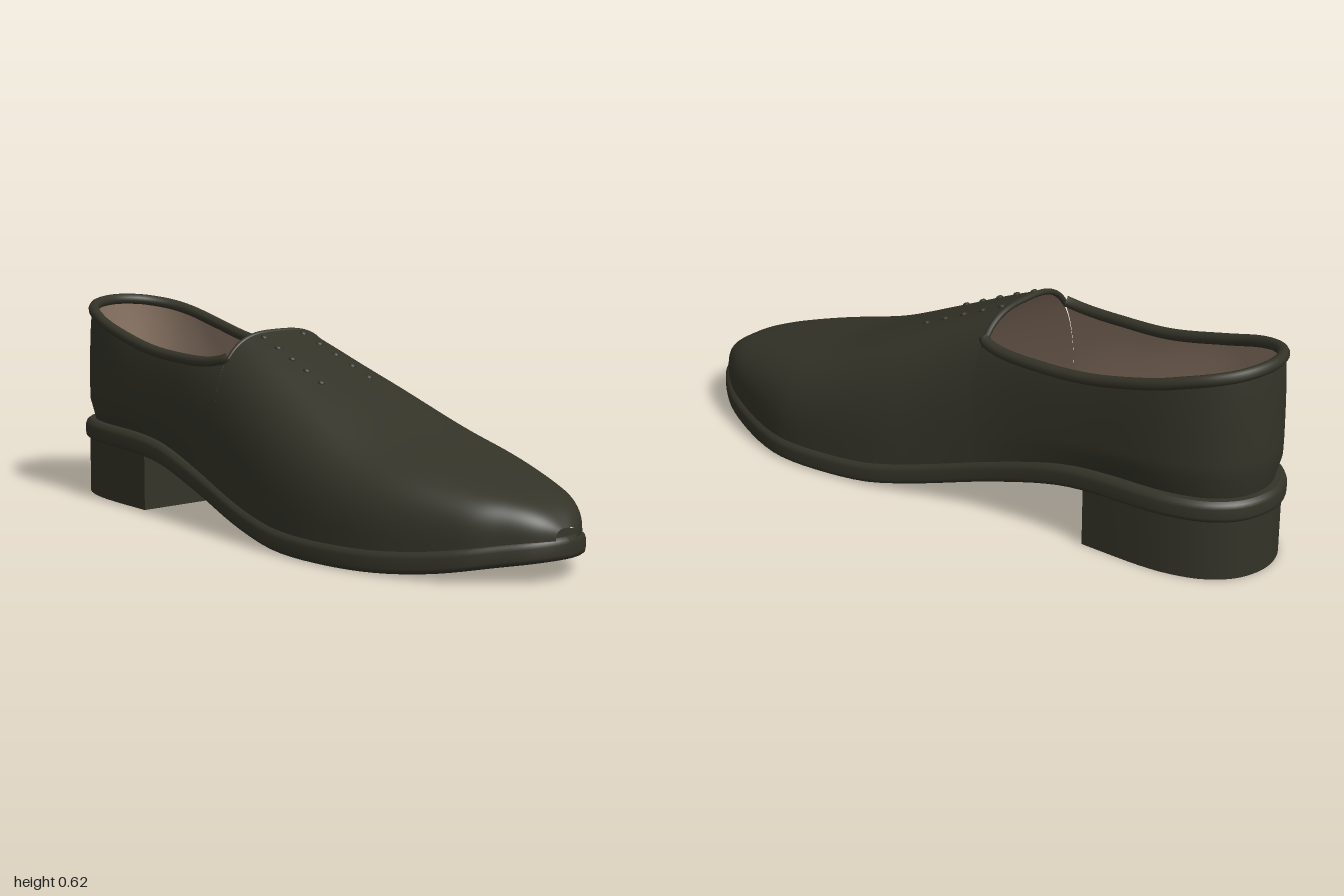
import * as THREE from 'three';
import { mergeGeometries, mergeVertices, toCreasedNormals } from 'three/addons/utils/BufferGeometryUtils.js';

const leather = new THREE.MeshStandardMaterial({ color: 0x333328 });
leather.name = 'dark leather';
const liningTan = new THREE.MeshStandardMaterial({ color: 0x8f7968, side: THREE.DoubleSide });
liningTan.name = 'tan lining';

// Smooth lookup in a table of [z, value], z descending
function lookup(table, z) {
  const n = table.length;
  if (z >= table[0][0]) return table[0][1];
  if (z <= table[n - 1][0]) return table[n - 1][1];
  let i = 0;
  while (z < table[i + 1][0]) i++;
  const slope = (k) => {
    const a = table[Math.max(k - 1, 0)], b = table[Math.min(k + 1, n - 1)];
    return (b[1] - a[1]) / (b[0] - a[0]);
  };
  const [z0, v0] = table[i], [z1, v1] = table[i + 1], d = z1 - z0, t = (z - z0) / d;
  const t2 = t * t, t3 = t2 * t;
  return (2 * t3 - 3 * t2 + 1) * v0 + (t3 - 2 * t2 + t) * d * slope(i)
    + (3 * t2 - 2 * t3) * v1 + (t3 - t2) * d * slope(i + 1);
}

const CUT = -0.13;                       // front edge of the opening
const E = 0.64;                          // squareness of the upper's arch
const A_TOP = Math.asin(0.84 ** (1 / E)); // arch angle where the collar starts

const soleBottom = (z) => lookup([[1, 0.062], [0.9, 0.045], [0.75, 0.018], [0.6, 0.004], [0.4, 0], [0.22, 0.005],
  [0.1, 0.023], [0, 0.045], [-0.2, 0.1], [-0.4, 0.153], [-0.52, 0.17], [-0.7, 0.176], [-1, 0.176]], z);
const soleTop = (z) => soleBottom(z) + 0.06;
const ridge = (z) => lookup([[1, 0.12], [0.985, 0.15], [0.95, 0.185], [0.9, 0.212], [0.8, 0.243], [0.7, 0.27],
  [0.45, 0.335], [0.2, 0.437], [0, 0.523], [CUT, 0.575]], z);
const rimY = (z) => lookup([[CUT, 0.505], [-0.2, 0.489], [-0.3, 0.485], [-0.5, 0.495],
  [-0.7, 0.535], [-0.85, 0.573], [-1, 0.602]], z);
const wallLean = (z) => lookup([[CUT, 1], [-0.18, 0.65], [-0.28, 0.38], [-0.45, 0.25], [-1, 0.15]], z);

// Plan outline from toe, along +x to the heel and back along -x
const plan = new THREE.CatmullRomCurve3([
  [0.02, 1], [0.11, 0.97], [0.185, 0.9], [0.25, 0.8], [0.325, 0.6], [0.343, 0.45], [0.312, 0.2], [0.26, 0],
  [0.222, -0.2], [0.21, -0.45], [0.208, -0.7], [0.19, -0.82], [0.15, -0.91], [0.08, -0.975],
  [-0.02, -1], [-0.12, -0.975], [-0.19, -0.91], [-0.23, -0.82], [-0.25, -0.7], [-0.265, -0.45], [-0.29, -0.2],
  [-0.32, 0], [-0.343, 0.2], [-0.343, 0.4], [-0.31, 0.6], [-0.225, 0.8], [-0.145, 0.9], [-0.07, 0.97],
].map(([x, z]) => new THREE.Vector3(x, 0, z)), true, 'catmullrom').getPoints(700);

function edges(z) {
  if (z > 0.9995) return [0.02, 0.02];
  if (z < -0.9995) return [-0.02, -0.02];
  const xs = [];
  for (let i = 0; i + 1 < plan.length; i++) {
    const a = plan[i], b = plan[i + 1];
    if ((a.z - z) * (b.z - z) <= 0 && a.z !== b.z) xs.push(a.x + (b.x - a.x) * (z - a.z) / (b.z - a.z));
  }
  return [Math.min(...xs), Math.max(...xs)];
}

// Ring of outline stations with inward normals
const N = 64, ring = [];
for (let k = 0; k < 2 * N; k++) {
  const z = Math.cos(Math.PI * k / N);
  ring.push({ x: edges(z)[k <= N ? 1 : 0], z });
}
ring.forEach((p, i) => {
  const a = ring[(i + 2 * N - 1) % (2 * N)], b = ring[(i + 1) % (2 * N)];
  const l = Math.hypot(b.x - a.x, b.z - a.z);
  p.nx = (b.z - a.z) / l;
  p.nz = -(b.x - a.x) / l;
});
const inset = (p, d, y) => [p.x + p.nx * d, y, p.z + p.nz * d];

// The U-shaped run of the ring behind a given z
function uRun(zCut) {
  const [l, r] = edges(zCut);
  return [{ x: r, z: zCut, nx: -1, nz: 0 }, ...ring.filter((p) => p.z < zCut - 0.003), { x: l, z: zCut, nx: 1, nz: 0 }];
}

// Surface through rows of points
function grid(rows) {
  const w = rows[0].length, idx = [];
  for (let i = 0; i + 1 < rows.length; i++) {
    for (let j = 0; j + 1 < w; j++) {
      const a = i * w + j, b = a + w;
      idx.push(a, b, b + 1, a, b + 1, a + 1);
    }
  }
  const g = new THREE.BufferGeometry();
  g.setAttribute('position', new THREE.Float32BufferAttribute(rows.flat(2), 3));
  g.setIndex(idx);
  g.computeVertexNormals();
  return g;
}

// Arch angles, always including both collar angles
const span = (a, b, n) => Array.from({ length: n + 1 }, (_, i) => a + (b - a) * i / n);
const side = span(0, A_TOP, 14);
const arch = [...side, ...span(A_TOP, Math.PI - A_TOP, 20).slice(1, -1), ...side.map((a) => Math.PI - a).reverse()];
const pw = (v) => Math.sign(v) * Math.abs(v) ** E;

function section(z, shrink) {
  const [l, r] = edges(z), base = soleTop(z) - 0.008;
  return { cx: (l + r) / 2, hw: Math.max((r - l) / 2 - 0.015 - shrink, 0), base, h: Math.max(ridge(z) - base - shrink, 0.005) };
}
function archRow(z, shrink, angles = arch) {
  const s = section(z, shrink);
  return angles.map((a) => [s.cx + s.hw * pw(Math.cos(a)), s.base + s.h * pw(Math.max(Math.sin(a), 0)), z]);
}
function wallPoint(p, a, shrink) {
  const base = soleTop(p.z) - 0.008, v = pw(Math.sin(a)) / 0.84;
  const back = Math.min(1, (CUT - p.z) / 0.5);
  const d = 0.015 + shrink + wallLean(p.z) * section(CUT, shrink).hw * (1 - pw(Math.cos(a)))
    + 0.02 * back * Math.max(0, 1 - v * 4) ** 2;
  return inset(p, d, base + (rimY(p.z) - base) * v);
}

// Vamp arch and quarter walls joined as one smooth skin
function shell(zFront, shrink) {
  const t0 = Math.acos(zFront), t1 = Math.acos(CUT);
  const vamp = span(t0, t1, 60).map((t) => archRow(Math.cos(t), shrink));
  const walls = uRun(CUT).map((p) => side.map((a) => wallPoint(p, a, shrink)));
  const g = mergeGeometries([grid(vamp), grid(walls)]);
  g.deleteAttribute('normal');
  const joined = mergeVertices(g, 1e-4);
  joined.computeVertexNormals();
  return joined;
}

// Flat sheet across the outline at a given height
function sheet(d, yAt, up, zMax = 2) {
  const rows = [];
  for (let i = 0; i <= N; i++) {
    const r = ring[i], l = ring[(2 * N - i) % (2 * N)];
    if (r.z > zMax) continue;
    const pair = [inset(r, d, yAt(r.z)), inset(l, d, yAt(l.z))];
    rows.push(up ? pair : pair.reverse());
  }
  return grid(rows);
}

function tube(points, radius) {
  const curve = new THREE.CatmullRomCurve3(points.map((p) => new THREE.Vector3(...p)));
  return new THREE.TubeGeometry(curve, 120, radius, 10);
}

export function createModel() {
  const shoe = new THREE.Group();
  shoe.name = 'shoe';
  const add = (name, geometry, material = leather) => {
    const m = new THREE.Mesh(geometry, material);
    m.name = name;
    shoe.add(m);
    return m;
  };

  // Upper and its lining
  add('upper', shell(0.988, 0));
  add('lining', shell(0.6, 0.012), liningTan);
  add('insole', sheet(0.03, (z) => soleTop(z) + 0.015, true, 0.6));

  // Rolled collar and tongue edge
  add('collar', tube(uRun(CUT).map((p) => wallPoint(p, A_TOP, 0.006)), 0.017));
  add('tongueEdge', tube(archRow(CUT, 0.006, span(A_TOP, Math.PI - A_TOP, 24)), 0.009));

  // Sole: rounded welt with top and bottom sheets
  add('welt', grid([...ring, ring[0]].map((p) => {
    const b = soleBottom(p.z), t = soleTop(p.z);
    return [inset(p, 0.01, b), inset(p, 0.002, b + 0.006), inset(p, 0, b + 0.015), inset(p, 0, t - 0.018),
      inset(p, 0.004, t - 0.007), inset(p, 0.014, t)];
  })));
  add('soleTop', sheet(0.014, soleTop, true));
  add('soleBottom', sheet(0.01, soleBottom, false));

  // Heel block
  const outline = uRun(-0.515).map((p) => inset(p, 0.013, 0)).map(([x, , z]) => new THREE.Vector2(x, -z));
  const heel = new THREE.ExtrudeGeometry(new THREE.Shape(outline), { depth: 0.185, bevelEnabled: false });
  heel.rotateX(-Math.PI / 2);
  add('heel', toCreasedNormals(heel, 0.6));

  // Two rows of eyelet studs
  const stud = new THREE.SphereGeometry(0.011, 12, 8);
  for (let i = 0; i < 5; i++) {
    const z = -0.1 + i * 0.064;
    for (const x of [-0.11, 0.04 + i * 0.008]) {
      const s = section(z, 0);
      const y = s.base + s.h * (1 - Math.abs((x - s.cx) / s.hw) ** (2 / E)) ** (E / 2);
      const m = add('eyelet', stud);
      m.position.set(x, y, z);
      m.rotation.x = 0.42;
      m.scale.y = 0.6;
    }
  }
  return shoe;
}
